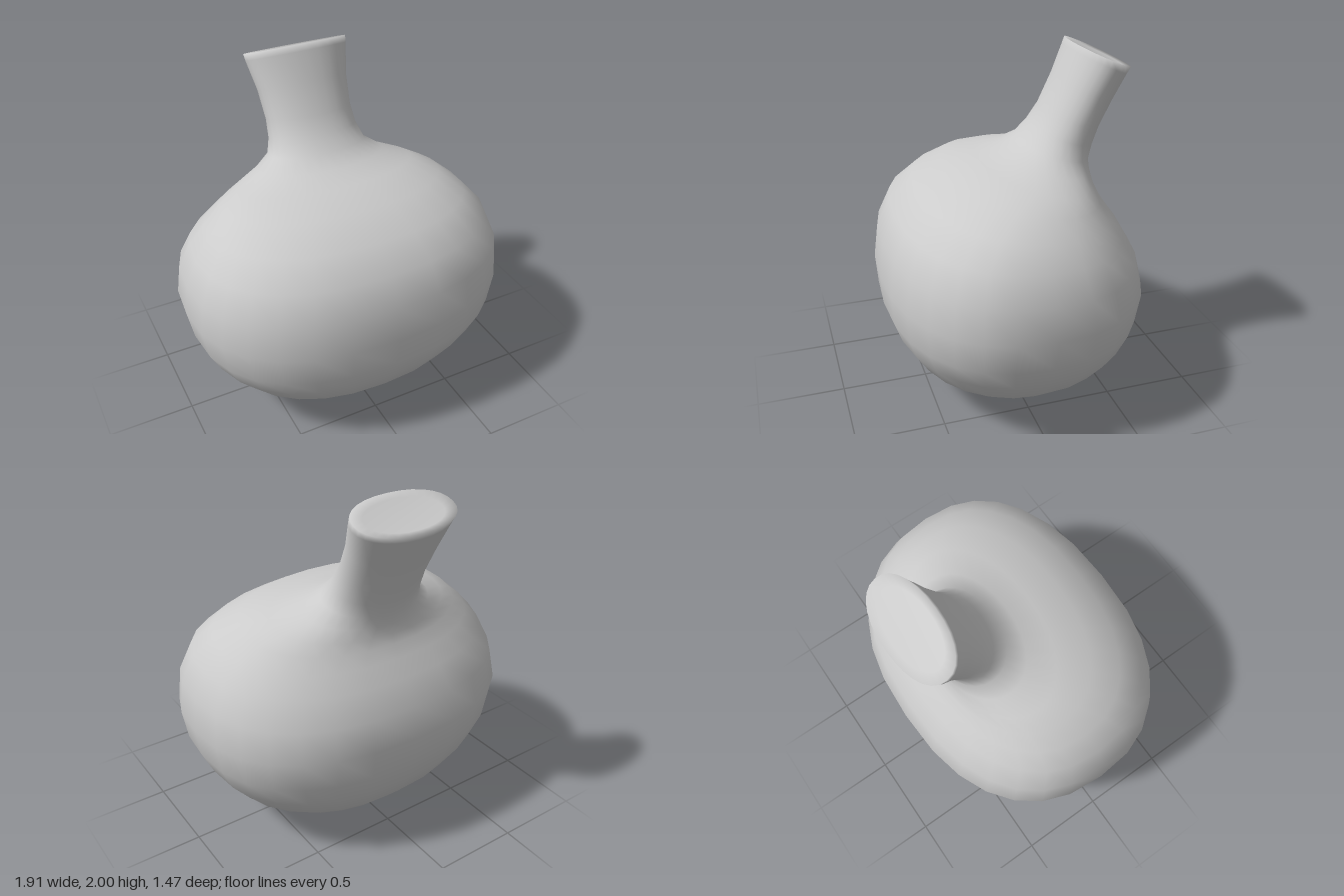
import * as THREE from 'three';
import { mergeVertices } from 'three/addons/utils/BufferGeometryUtils.js';

const SIDES = 28;

// Cross-sections from base to lip: half width, front z, front y, back z, back y, squareness
const RINGS = [
  [0, -0.13, 0, -0.13, 0, 2],
  [0.19, 0.0, 0.02, -0.22, 0.005, 2],
  [0.43, 0.28, 0.09, -0.34, 0.055, 2.1],
  [0.61, 0.47, 0.165, -0.47, 0.15, 2.2],
  [0.75, 0.6, 0.28, -0.58, 0.265, 2.3],
  [0.86, 0.68, 0.42, -0.66, 0.4, 2.35],
  [0.925, 0.725, 0.55, -0.71, 0.55, 2.4],
  [0.957, 0.737, 0.73, -0.733, 0.73, 2.4],
  [0.935, 0.71, 0.93, -0.69, 0.9, 2.4],
  [0.87, 0.635, 1.1, -0.61, 1.04, 2.35],
  [0.77, 0.5, 1.225, -0.545, 1.13, 2.3],
  [0.66, 0.33, 1.325, -0.505, 1.2, 2.2],
  [0.54, 0.14, 1.375, -0.485, 1.25, 2.1],
  [0.39, 0.0, 1.41, -0.48, 1.31, 2.1],
  [0.295, -0.09, 1.47, -0.482, 1.37, 2.1],
  [0.265, -0.165, 1.55, -0.505, 1.45, 2.1],
  [0.257, -0.23, 1.64, -0.54, 1.55, 2.1],
  [0.27, -0.315, 1.81, -0.605, 1.69, 2.1],
  [0.305, -0.385, 1.965, -0.675, 1.845, 2.1],
  [0.308, -0.402, 2.0, -0.692, 1.88, 2.2],
  // slightly dished top
  [0.24, -0.435, 1.977, -0.655, 1.886, 2.1],
  [0, -0.545, 1.93, -0.545, 1.93, 2],
];

const power = (v, n) => Math.sign(v) * Math.abs(v) ** (2 / n);

// Skins the tilted superellipse sections into one closed smooth surface
function loft(rings) {
  const points = [], index = [];
  rings.forEach(([w, zf, yf, zb, yb, n], i) => {
    for (let j = 0; j < SIDES; j++) {
      const a = (j / SIDES) * Math.PI * 2;
      const s = power(Math.sin(a), n);
      points.push(
        w * power(Math.cos(a), n),
        (yf + yb) / 2 + ((yf - yb) / 2) * s,
        (zf + zb) / 2 + ((zf - zb) / 2) * s
      );
      if (i === rings.length - 1) continue;
      const k = (j + 1) % SIDES;
      const p = i * SIDES + j, q = i * SIDES + k;
      if (i < rings.length - 2) index.push(p, p + SIDES, q + SIDES);
      else index.push(p, p + SIDES, q);
      if (i > 0 && i < rings.length - 2) index.push(p, q + SIDES, q);
    }
  });
  let geometry = new THREE.BufferGeometry();
  geometry.setAttribute('position', new THREE.Float32BufferAttribute(points, 3));
  geometry.setIndex(index);
  geometry = mergeVertices(geometry, 1e-4);
  geometry.computeVertexNormals();
  return geometry;
}

export function createModel() {
  const group = new THREE.Group();
  group.name = 'gourd';
  const material = new THREE.MeshStandardMaterial({ color: 0xcccccc });
  // Round body flowing into the stem that leans back
  const body = new THREE.Mesh(loft(RINGS), material);
  body.name = 'bodyAndStem';
  group.add(body);
  return group;
}
